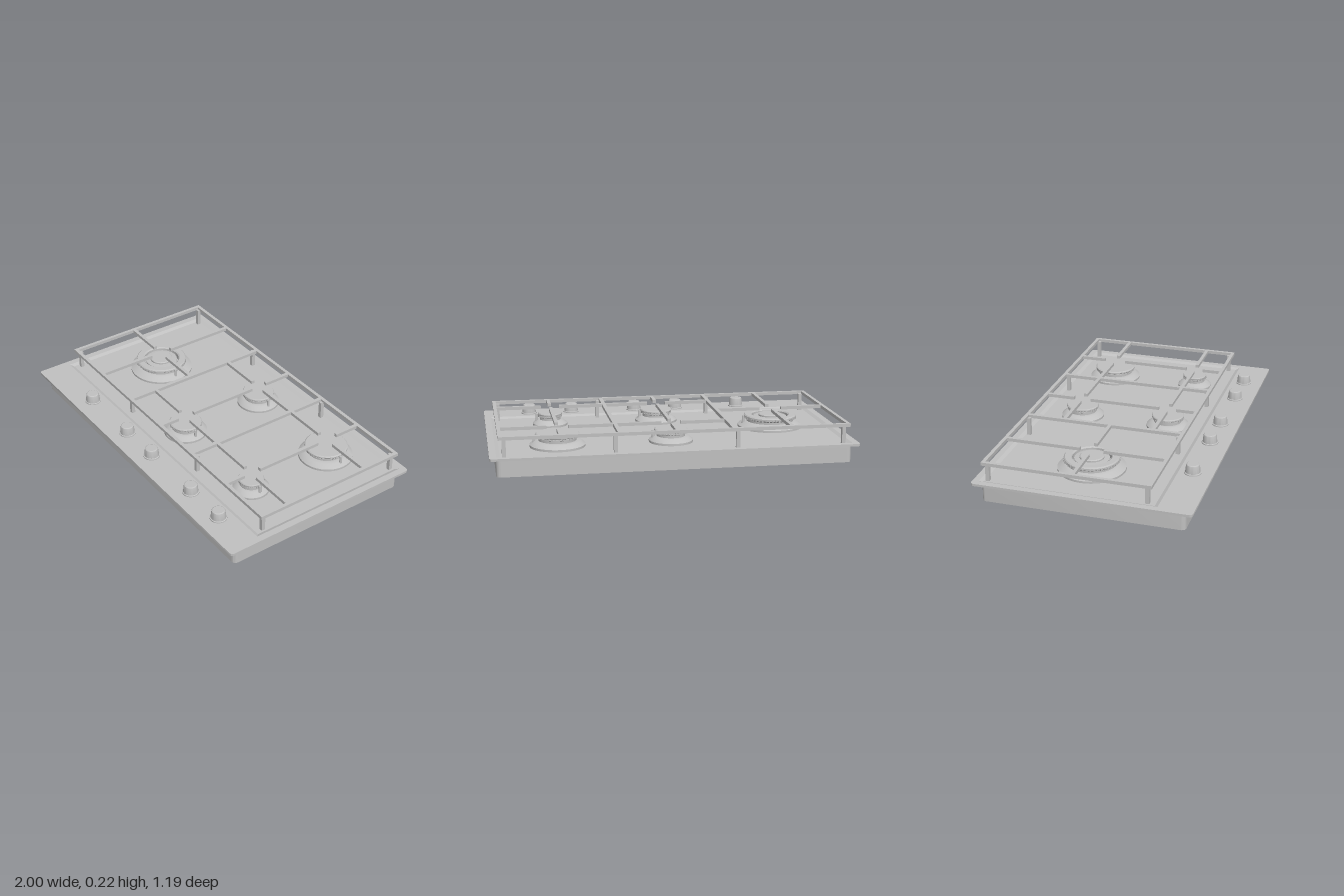
import * as THREE from 'three';
import { mergeGeometries, toCreasedNormals } from 'three/addons/utils/BufferGeometryUtils.js';

const steel = new THREE.MeshStandardMaterial({ color: 0xc0c0c0 });
steel.name = 'brushed steel';

function add(parent, name, geometry, x = 0, y = 0, z = 0) {
  const mesh = new THREE.Mesh(geometry, steel);
  mesh.name = name;
  mesh.position.set(x, y, z);
  parent.add(mesh);
  return mesh;
}

function roundedRect(x0, y0, x1, y1, r) {
  const s = new THREE.Shape();
  s.moveTo(x0 + r, y0);
  s.absarc(x1 - r, y0 + r, r, -Math.PI / 2, 0);
  s.absarc(x1 - r, y1 - r, r, 0, Math.PI / 2);
  s.absarc(x0 + r, y1 - r, r, Math.PI / 2, Math.PI);
  s.absarc(x0 + r, y0 + r, r, Math.PI, Math.PI * 1.5);
  return s;
}

// Upright slab; the shape's y runs towards the back
function slab(shape, height) {
  const g = new THREE.ExtrudeGeometry(shape, { depth: height, bevelEnabled: false, curveSegments: 6 });
  return toCreasedNormals(g.rotateX(-Math.PI / 2), 0.6);
}

function lathe(points, segments = 48) {
  const g = new THREE.LatheGeometry(points.map(([x, y]) => new THREE.Vector2(x, y)), segments);
  return toCreasedNormals(g, 0.5);
}

// Sloping walls and floor of the sunken cooking area
function panGeometry() {
  const loop = (x, back, front, y) => [[-x, y, front], [x, y, front], [x, y, back], [-x, y, back]];
  const outer = loop(0.963, -0.56, 0.405, 0.112);
  const inner = loop(0.943, -0.54, 0.385, 0.103);
  const pos = [];
  const quad = (a, b, c, d) => pos.push(...a, ...b, ...c, ...a, ...c, ...d);
  for (let i = 0; i < 4; i++) {
    const j = (i + 1) % 4;
    quad(outer[i], outer[j], inner[j], inner[i]);
  }
  quad(...inner);
  const g = new THREE.BufferGeometry();
  g.setAttribute('position', new THREE.Float32BufferAttribute(pos, 3));
  g.computeVertexNormals();
  return g;
}

// Small teeth between the flame ports below a cap
function teethGeometry(radius, count, y) {
  const teeth = [];
  for (let i = 0; i < count; i++) {
    const t = new THREE.BoxGeometry(0.01, 0.012, 0.008);
    t.translate(radius, y, 0).rotateY((i / count) * Math.PI * 2);
    teeth.push(t);
  }
  return mergeGeometries(teeth);
}

function burner(name, x, z, base, cap) {
  const g = new THREE.Group();
  g.name = name;
  g.position.set(x, 0, z);
  add(g, 'burnerBase', lathe([
    [base, 0.103], [base, 0.115], [base * 0.95, 0.12], [cap * 1.05, 0.134], [cap * 0.9, 0.137], [0, 0.137],
  ]));
  add(g, 'burnerCrown', lathe([
    [cap * 0.86, 0.135], [cap * 0.86, 0.15], [cap * 0.97, 0.155], [cap * 0.97, 0.16], [cap * 0.9, 0.161], [0, 0.161],
  ]));
  add(g, 'flamePorts', teethGeometry(cap * 0.94, 36, 0.16));
  add(g, 'burnerCap', lathe([
    [0, 0.163], [cap * 0.98, 0.163], [cap, 0.166], [cap, 0.172], [cap * 0.95, 0.177], [0, 0.177],
  ]));
  add(g, 'igniter', new THREE.CylinderGeometry(0.007, 0.008, 0.045, 12), cap + 0.008, 0.147, 0);
  return g;
}

// Large burner with an outer flame ring and a separate centre cap
function wokBurner(x, z) {
  const g = new THREE.Group();
  g.name = 'wokBurner';
  g.position.set(x, 0, z);
  add(g, 'burnerBase', lathe([
    [0.185, 0.103], [0.185, 0.115], [0.175, 0.12], [0.152, 0.134], [0.14, 0.138], [0, 0.138],
  ], 64));
  add(g, 'outerRing', lathe([
    [0.135, 0.135], [0.135, 0.15], [0.147, 0.156], [0.15, 0.16], [0.15, 0.17],
    [0.144, 0.176], [0.112, 0.176], [0.105, 0.17], [0.105, 0.138],
  ], 64));
  add(g, 'flamePorts', teethGeometry(0.147, 48, 0.161));
  add(g, 'innerCrown', lathe([
    [0.085, 0.138], [0.085, 0.155], [0.095, 0.159], [0.095, 0.164], [0.07, 0.166], [0, 0.166],
  ]));
  add(g, 'centreCap', lathe([[0.066, 0.164], [0.066, 0.174], [0.061, 0.178], [0, 0.178]]));
  add(g, 'igniter', new THREE.CylinderGeometry(0.007, 0.008, 0.045, 12), 0.158, 0.147, 0);
  return g;
}

export function createModel() {
  const model = new THREE.Group();
  model.name = 'gasHob';

  // Housing, rimmed top plate and sunken pan
  add(model, 'housing', slab(roundedRect(-0.965, -0.55, 0.965, 0.547, 0.025), 0.1));
  const plate = roundedRect(-1, -0.593, 1, 0.593, 0.018);
  plate.holes.push(roundedRect(-0.963, -0.405, 0.963, 0.56, 0.002));
  add(model, 'topPlate', slab(plate, 0.013), 0, 0.099, 0);
  add(model, 'cookingPan', panGeometry());

  // Burners
  const midX = 0, rightX = 0.625, leftX = -0.63;
  const backZ = -0.318, frontZ = 0.195, wokZ = -0.05;
  model.add(wokBurner(leftX, wokZ));
  model.add(burner('middleBackBurner', midX, backZ, 0.122, 0.092));
  model.add(burner('middleFrontBurner', midX, frontZ, 0.122, 0.092));
  model.add(burner('rightBackBurner', rightX, backZ, 0.152, 0.12));
  model.add(burner('rightFrontBurner', rightX, frontZ, 0.1, 0.07));

  // Pan supports: bars given by their end positions
  const grates = new THREE.Group();
  grates.name = 'panSupports';
  model.add(grates);
  const barY = 0.208, barH = 0.018, w = 0.02;
  const barX = (name, x0, x1, z) =>
    add(grates, name, new THREE.BoxGeometry(x1 - x0, barH, w), (x0 + x1) / 2, barY, z);
  const barZ = (name, x, z0, z1, width = w) =>
    add(grates, name, new THREE.BoxGeometry(width, barH, z1 - z0), x, barY, (z0 + z1) / 2);

  const back = -0.538, front = 0.362, side = 0.943, divide = 0.311;
  for (const z of [back, front]) barX('supportRail', -side - 0.01, side + 0.01, z);
  for (const s of [-1, 1]) {
    barZ('supportSide', s * side, back, front);
    barZ('supportDivider', s * divide, back, front, 0.022);
    // Legs
    for (const x of [0.922, 0.332])
      for (const z of [-0.523, 0.343])
        add(grates, 'supportLeg', new THREE.BoxGeometry(0.021, 0.102, 0.021), s * x, 0.153, z);
  }

  // Fingers reaching in over the burners, leaving the centres open
  barX('supportFinger', -side, leftX - 0.065, wokZ);
  barX('supportFinger', leftX + 0.065, -divide, wokZ);
  barZ('supportFinger', leftX, back, wokZ - 0.065);
  barZ('supportFinger', leftX, wokZ + 0.068, front);
  for (const [x, x0, x1, gapBack] of [[midX, -divide, divide, 0.05], [rightX, divide, side, 0.065]]) {
    for (const [z, gap] of [[backZ, x === midX ? 0.053 : 0.06], [frontZ, 0.053]]) {
      barX('supportFinger', x0, x - gap, z);
      barX('supportFinger', x + gap, x1, z);
    }
    barZ('supportFinger', x, back, backZ - gapBack);
    barZ('supportFinger', x, backZ + gapBack, frontZ - 0.053);
    barZ('supportFinger', x, frontZ + 0.05, front);
  }

  // Control knobs
  const knob = lathe([
    [0.046, 0.111], [0.046, 0.118], [0.041, 0.12], [0.037, 0.157], [0.035, 0.163], [0.03, 0.166], [0, 0.166],
  ], 32);
  for (const x of [-0.55, -0.165, 0.09, 0.475, 0.73]) add(model, 'controlKnob', knob, x, 0, 0.482);

  return model;
}
